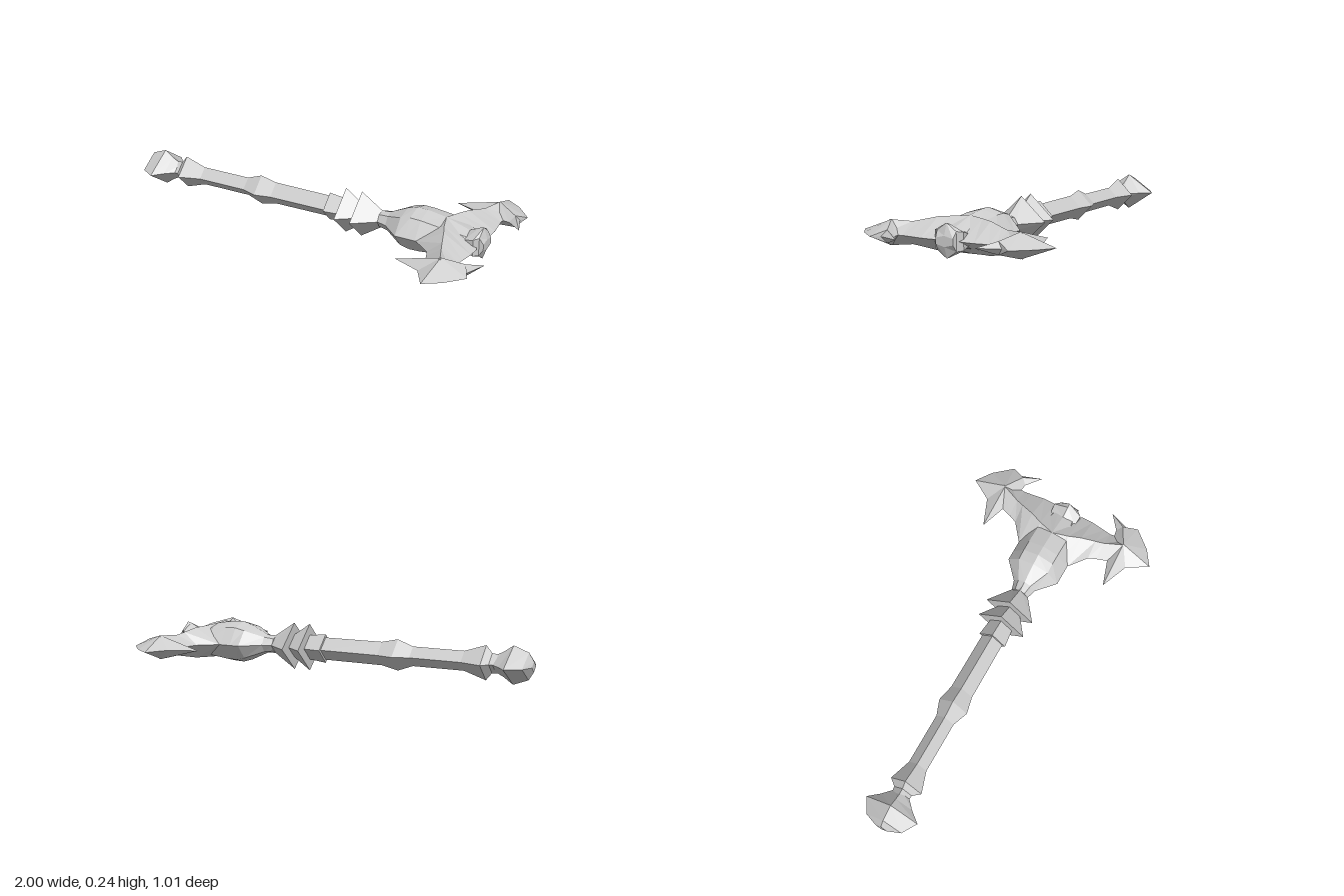
import * as THREE from 'three';

const CY = 0.12; // height of the shaft axis

// Flat-shaded geometry from triangles, wound outward by signed volume
function solid(tris) {
  let volume = 0;
  for (const [a, b, c] of tris) volume += a.dot(b.clone().cross(c));
  const pos = [];
  for (const [a, b, c] of tris) {
    for (const p of volume < 0 ? [a, c, b] : [a, b, c]) pos.push(p.x, p.y, p.z);
  }
  const geo = new THREE.BufferGeometry();
  geo.setAttribute('position', new THREE.Float32BufferAttribute(pos, 3));
  geo.computeVertexNormals();
  return geo;
}

// Skin a row of equal-length rings and cap both ends
function loft(rings) {
  const tris = [];
  const n = rings[0].length;
  for (let i = 0; i < rings.length - 1; i++) {
    for (let j = 0; j < n; j++) {
      const k = (j + 1) % n;
      const [a, b, c, d] = [rings[i][j], rings[i][k], rings[i + 1][k], rings[i + 1][j]];
      tris.push([a, b, c], [a, c, d]);
    }
  }
  const last = rings[rings.length - 1];
  for (let j = 1; j < n - 1; j++) {
    tris.push([rings[0][0], rings[0][j + 1], rings[0][j]], [last[0], last[j], last[j + 1]]);
  }
  return solid(tris);
}

const DIAMOND = [[1, 0], [0, 1], [-1, 0], [0, -1]];
const OCTAGON = [[1, 0], [0.58, 0.78], [0, 1], [-0.58, 0.78], [-1, 0], [-0.58, -0.78], [0, -1], [0.58, -0.78]];
const HEXAGON = [[0, 1], [-1, 0.56], [-1, -0.56], [0, -1], [1, -0.56], [1, 0.56]];

// Loft along x; each station is [x, half height, half depth]
const alongX = (shape, stations) => loft(stations.map(([x, ry, rz = ry]) =>
  shape.map(([z, y]) => new THREE.Vector3(x, CY + y * ry, z * rz))));

export function createModel() {
  const model = new THREE.Group();
  const metal = new THREE.MeshStandardMaterial({ color: 0xcccccc });
  metal.name = 'pale grey metal';
  const add = (name, geo) => {
    const mesh = new THREE.Mesh(geo, metal);
    mesh.name = name;
    model.add(mesh);
  };

  // Shaft and its fittings
  add('pommel', alongX(DIAMOND, [[-1, 0.025, 0.03], [-0.975, 0.065, 0.095], [-0.9, 0.093, 0.14],
    [-0.855, 0.062, 0.085], [-0.8, 0.033]]));
  add('shaft', alongX(DIAMOND, [[-0.83, 0.045], [-0.795, 0.048], [-0.765, 0.084], [-0.655, 0.048],
    [-0.39, 0.048], [-0.31, 0.077], [-0.225, 0.058], [0.09, 0.056], [0.42, 0.044]]));
  add('collarBand', alongX(DIAMOND, [[0.085, 0.072], [0.2, 0.058]]));
  add('rearCollarSpikes', alongX(DIAMOND, [[0.175, 0.118, 0.126], [0.31, 0.025]]));
  add('frontCollarSpikes', alongX(DIAMOND, [[0.262, 0.118, 0.13], [0.38, 0.04]]));

  // Swollen head core
  add('headCore', alongX(OCTAGON, [[0.37, 0.04, 0.045], [0.42, 0.048, 0.06], [0.51, 0.09, 0.14],
    [0.56, 0.105, 0.14], [0.615, 0.103, 0.14], [0.71, 0.088, 0.14], [0.88, 0.035, 0.07]]));
  add('frontGem', alongX(HEXAGON, [[0.83, 0.05, 0.07], [0.88, 0.074, 0.075], [0.9, 0.08, 0.05], [0.92, 0.025, 0.045]]));

  // Arm stations: [z, back x, ridge x, front x, half height]
  const armStations = [[0, 0.58, 0.71, 0.87, 0.088], [0.08, 0.59, 0.735, 0.9, 0.082], [0.14, 0.62, 0.76, 0.9, 0.078],
    [0.21, 0.71, 0.785, 0.89, 0.062], [0.25, 0.727, 0.8, 0.885, 0.053], [0.35, 0.76, 0.84, 0.9, 0.06]];
  // Blade outline as [x, z], running around the raised apex
  const outline = [[0.615, 0.345], [0.755, 0.4], [0.82, 0.505], [0.9, 0.45], [0.978, 0.36],
    [0.955, 0.315], [0.995, 0.205], [0.92, 0.265], [0.885, 0.27], [0.75, 0.3]];

  for (const [side, s] of [['left', 1], ['right', -1]]) {
    add(side + 'Arm', loft(armStations.map(([z, back, ridge, front, h]) =>
      [[back, 0], [ridge, h], [front, 0], [ridge, -h]].map(([x, y]) => new THREE.Vector3(x, CY + y, s * z)))));

    // Hooked blade: a fan above and below, with a small ridge on the front hook
    const tris = [];
    const rim = outline.map(([x, z]) => new THREE.Vector3(x, CY, s * z));
    for (const up of [1, -1]) {
      const apex = new THREE.Vector3(0.84, CY + up * 0.06, s * 0.34);
      const knuckle = new THREE.Vector3(0.94, CY + up * 0.03, s * 0.29);
      const face = (a, b, c) => tris.push(up > 0 ? [a, b, c] : [a, c, b]);
      rim.forEach((p, i) => {
        const next = rim[(i + 1) % rim.length];
        face(i >= 4 && i <= 6 ? knuckle : apex, p, next);
      });
      face(apex, rim[4], knuckle);
      face(apex, knuckle, rim[7]);
    }
    add(side + 'Blade', solid(tris));
  }
  return model;
}
